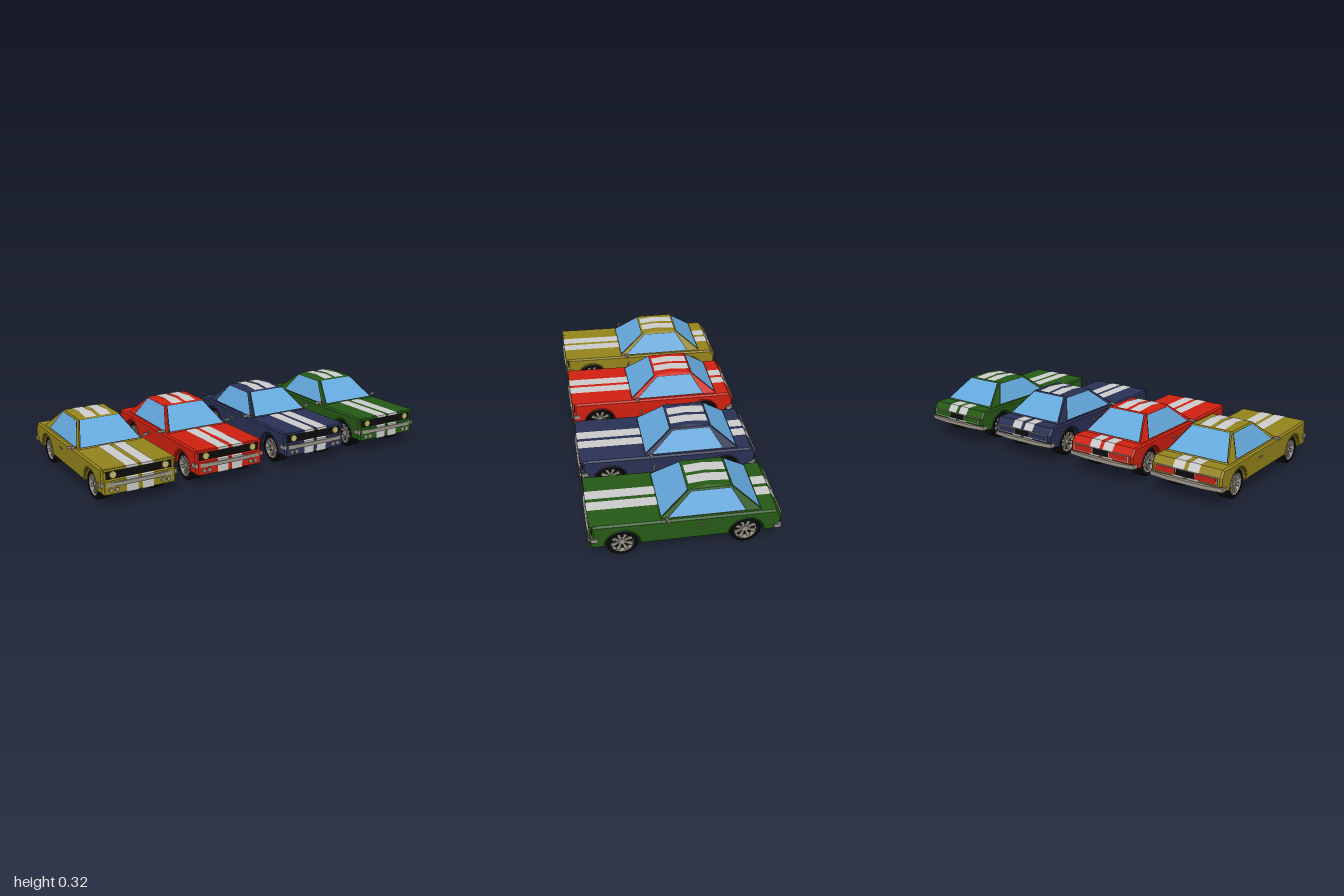
import * as THREE from 'three';
import { ConvexGeometry } from 'three/addons/geometries/ConvexGeometry.js';

const mat = (color, side = THREE.FrontSide) =>
  new THREE.MeshStandardMaterial({ color, side, flatShading: true });
const stripeMat = mat(0xcccccc, THREE.DoubleSide);
const glassMat = mat(0x64a8dc, THREE.DoubleSide);
const trimMat = mat(0x161616, THREE.DoubleSide);
const chrome = mat(0x9a9488, THREE.DoubleSide);
const black = mat(0x0c0c0c, THREE.DoubleSide);
const lampMat = mat(0xc8b868);

const WHEEL_Z = [0.313, -0.293], WHEEL_Y = 0.077, ARCH = 0.084;

function add(parent, name, geometry, material, x = 0, y = 0, z = 0) {
  const m = new THREE.Mesh(geometry, material);
  m.name = name;
  m.position.set(x, y, z);
  parent.add(m);
  return m;
}
const box = (w, h, d) => new THREE.BoxGeometry(w, h, d);
const shapeOf = (pts) => new THREE.Shape(pts.map((p) => new THREE.Vector2(...p)));

// Strip of quads between two matching lines of points
function strip(a, b) {
  const pos = [], idx = [];
  a.forEach((p, i) => {
    pos.push(...p, ...b[i]);
    if (i) idx.push(2 * i - 2, 2 * i - 1, 2 * i, 2 * i, 2 * i - 1, 2 * i + 1);
  });
  const g = new THREE.BufferGeometry();
  g.setAttribute('position', new THREE.Float32BufferAttribute(pos, 3));
  g.setIndex(idx);
  g.computeVertexNormals();
  return g;
}

// Side profile in (z, y) with wheel arches, extruded across the width
function bodyGeometry() {
  const pts = [[0.458, 0.203], [0.13, 0.198], [-0.37, 0.194], [-0.44, 0.194],
    [-0.465, 0.158], [-0.465, 0.115], [-0.418, 0.073]];
  for (const z of [WHEEL_Z[1], WHEEL_Z[0]])
    for (let i = 0; i <= 12; i++) {
      const t = Math.PI * (1 - i / 12);
      pts.push([z + ARCH * Math.cos(t), 0.073 + (ARCH + 0.004) * Math.sin(t)]);
    }
  pts.push([0.468, 0.073], [0.468, 0.142], [0.458, 0.147]);
  const g = new THREE.ExtrudeGeometry(shapeOf(pts), {
    depth: 0.372, bevelThickness: 0.01, bevelSize: 0.008, bevelOffset: -0.008, bevelSegments: 1,
  });
  g.translate(0, 0, -0.186);
  return g.rotateY(-Math.PI / 2);
}

// Bumper bowed in plan; dir is +1 at the front and -1 at the back
function bumperGeometry(dir) {
  const pts = [[-0.203, 0.43], [-0.203, 0.464], [-0.1, 0.478], [0.1, 0.478], [0.203, 0.464],
    [0.203, 0.43], [0.192, 0.43], [0.192, 0.455], [-0.192, 0.455], [-0.192, 0.43]];
  const g = new THREE.ExtrudeGeometry(shapeOf(pts), { depth: 0.02, bevelEnabled: false });
  g.translate(0, 0, -0.01).rotateX(Math.PI / 2);
  return dir < 0 ? g.rotateY(Math.PI) : g;
}

function makeWheel() {
  const wheel = new THREE.Group();
  wheel.name = 'wheel';
  const profile = [[0.056, -0.037], [0.07, -0.037], [0.077, -0.03], [0.077, 0.03],
    [0.07, 0.037], [0.056, 0.037]].map((p) => new THREE.Vector2(...p));
  add(wheel, 'tyre', new THREE.LatheGeometry(profile, 18).rotateZ(-Math.PI / 2), black);
  add(wheel, 'rimBarrel',
    new THREE.CylinderGeometry(0.056, 0.056, 0.072, 18, 1, true).rotateZ(-Math.PI / 2), chrome);
  add(wheel, 'brakeDisc', new THREE.CylinderGeometry(0.055, 0.055, 0.02, 18).rotateZ(-Math.PI / 2), black);
  add(wheel, 'hub', new THREE.CylinderGeometry(0.015, 0.017, 0.058, 12).rotateZ(-Math.PI / 2), chrome);
  const spoke = new THREE.ExtrudeGeometry(
    shapeOf([[-0.004, 0.012], [0.004, 0.012], [0.01, 0.056], [-0.01, 0.056]]),
    { depth: 0.008, bevelEnabled: false }).rotateY(Math.PI / 2);
  for (let i = 0; i < 8; i++)
    add(wheel, 'spoke', spoke, chrome, 0.018).rotation.x = (i + 0.5) * Math.PI / 4;
  return wheel;
}

function makeCabin(car, paint) {
  const v = (x, y, z) => new THREE.Vector3(x, y, z);
  const B = 0.176, T = 0.113;
  const pts = [];
  for (const s of [-1, 1])
    pts.push(v(s * B, 0.195, 0.13), v(s * B, 0.192, -0.37), v(s * T, 0.31, -0.022),
      v(s * T, 0.31, -0.226), v(s * (T - 0.015), 0.318, -0.115));
  add(car, 'cabin', new ConvexGeometry(pts), paint);

  // Each window is a pane over a slightly larger dark surround
  function pane(name, corners, normal) {
    const c = corners.reduce((a, p) => a.add(p), v(0, 0, 0)).multiplyScalar(0.25);
    [[1, 0.0035, glassMat, ''], [1.035, 0.002, trimMat, 'Trim']].forEach(([k, off, m, suffix]) => {
      const q = corners.map((p) => p.clone().sub(c).multiplyScalar(k).add(c)
        .addScaledVector(normal, off).toArray());
      add(car, name + suffix, strip([q[0], q[1]], [q[2], q[3]]), m);
    });
  }
  const half = (y) => B + (T - B) * (y - 0.195) / 0.115;
  pane('windshield', [v(-0.164, 0.203, 0.1196), v(0.164, 0.203, 0.1196),
    v(-0.108, 0.304, -0.0139), v(0.108, 0.304, -0.0139)], v(0, 0.8, 0.6).normalize());
  pane('rearWindow', [v(0.164, 0.2, -0.3602), v(-0.164, 0.2, -0.3602),
    v(0.106, 0.303, -0.2345), v(-0.106, 0.303, -0.2345)], v(0, 0.773, -0.634));
  for (const s of [-1, 1])
    pane('sideWindow', [v(s * half(0.2), 0.2, 0.088), v(s * half(0.2), 0.2, -0.288),
      v(s * half(0.3), 0.3, -0.03), v(s * half(0.3), 0.3, -0.224)], v(s * 0.877, 0.48, 0));
}

function makeCar(name, color, tailColor) {
  const car = new THREE.Group();
  car.name = name;
  const paint = mat(color);
  add(car, 'body', bodyGeometry(), paint);
  add(car, 'hoodLip', box(0.376, 0.012, 0.04), paint, 0, 0.1965, 0.45);
  makeCabin(car, paint);

  // Twin racing stripes: hood, roof, and around tail, underside and nose
  const paths = [
    [[0.12, 0.2], [0.44, 0.205], [0.472, 0.2045], [0.472, 0.191]],
    [[-0.024, 0.3125], [-0.115, 0.3205], [-0.225, 0.3125]],
    [[0.462, 0.147], [0.471, 0.142], [0.471, 0.071], [-0.419, 0.071], [-0.467, 0.115],
      [-0.467, 0.159], [-0.441, 0.1965], [-0.368, 0.1965]],
  ];
  for (const s of [-1, 1])
    for (const path of paths)
      add(car, 'stripe', strip(path.map(([z, y]) => [s * 0.011, y, z]),
        path.map(([z, y]) => [s * 0.072, y, z])), stripeMat);

  // Nose and tail
  add(car, 'grille', box(0.35, 0.042, 0.02), black, 0, 0.169, 0.4505);
  add(car, 'frontBumper', bumperGeometry(1), chrome, 0, 0.123, 0);
  add(car, 'rearBumper', bumperGeometry(-1), chrome, 0, 0.1, 0);
  add(car, 'tailFrame', box(0.35, 0.036, 0.01), chrome, 0, 0.141, -0.465);
  add(car, 'tailPanel', box(0.1, 0.03, 0.01), black, 0, 0.141, -0.4675);

  for (const s of [-1, 1]) {
    const lamp = (r, d) => new THREE.CylinderGeometry(r, r, d, 14).rotateX(Math.PI / 2);
    add(car, 'headlight', lamp(0.018, 0.014), lampMat, s * 0.139, 0.169, 0.46);
    for (const x of [0.122, 0.153])
      add(car, 'fogLight', lamp(0.011, 0.01), chrome, s * x, 0.095, 0.469);
    add(car, 'tailLight', box(0.112, 0.028, 0.01), mat(tailColor), s * 0.112, 0.141, -0.4675);
    add(car, 'doorHandle', box(0.008, 0.006, 0.034), chrome, s * 0.198, 0.155, -0.07);
    add(car, 'mirrorStalk', box(0.04, 0.005, 0.006), chrome, s * 0.187, 0.203, 0.1).rotation.z = s * 0.15;
    add(car, 'mirror', box(0.036, 0.014, 0.008), chrome, s * 0.206, 0.208, 0.096).rotation.y = s * 0.35;
    for (const z of WHEEL_Z) {
      const flare = new THREE.TorusGeometry(ARCH + 0.005, 0.004, 5, 12, Math.PI).rotateY(Math.PI / 2);
      add(car, 'archFlare', flare, paint, s * 0.193, 0.073, z);
      const wheel = makeWheel();
      wheel.position.set(s * 0.145, WHEEL_Y, z);
      if (s < 0) wheel.rotation.y = Math.PI;
      car.add(wheel);
    }
  }
  // Floor between the wheel wells
  for (const z of WHEEL_Z) add(car, 'floor', box(0.2, 0.11, 0.18), paint, 0, 0.128, z);
  return car;
}

export function createModel() {
  const model = new THREE.Group();
  model.name = 'carRow';
  const cars = [
    ['yellowCar', -0.776, 0x94841c, 0xc82014],
    ['redCar', -0.27, 0xd02010, 0xc82014],
    ['blueCar', 0.27, 0x2a3154, 0x2a3154],
    ['greenCar', 0.776, 0x265a16, 0x265a16],
  ];
  for (const [name, x, color, tail] of cars) {
    const car = makeCar(name, color, tail);
    car.position.x = x;
    model.add(car);
  }
  return model;
}
